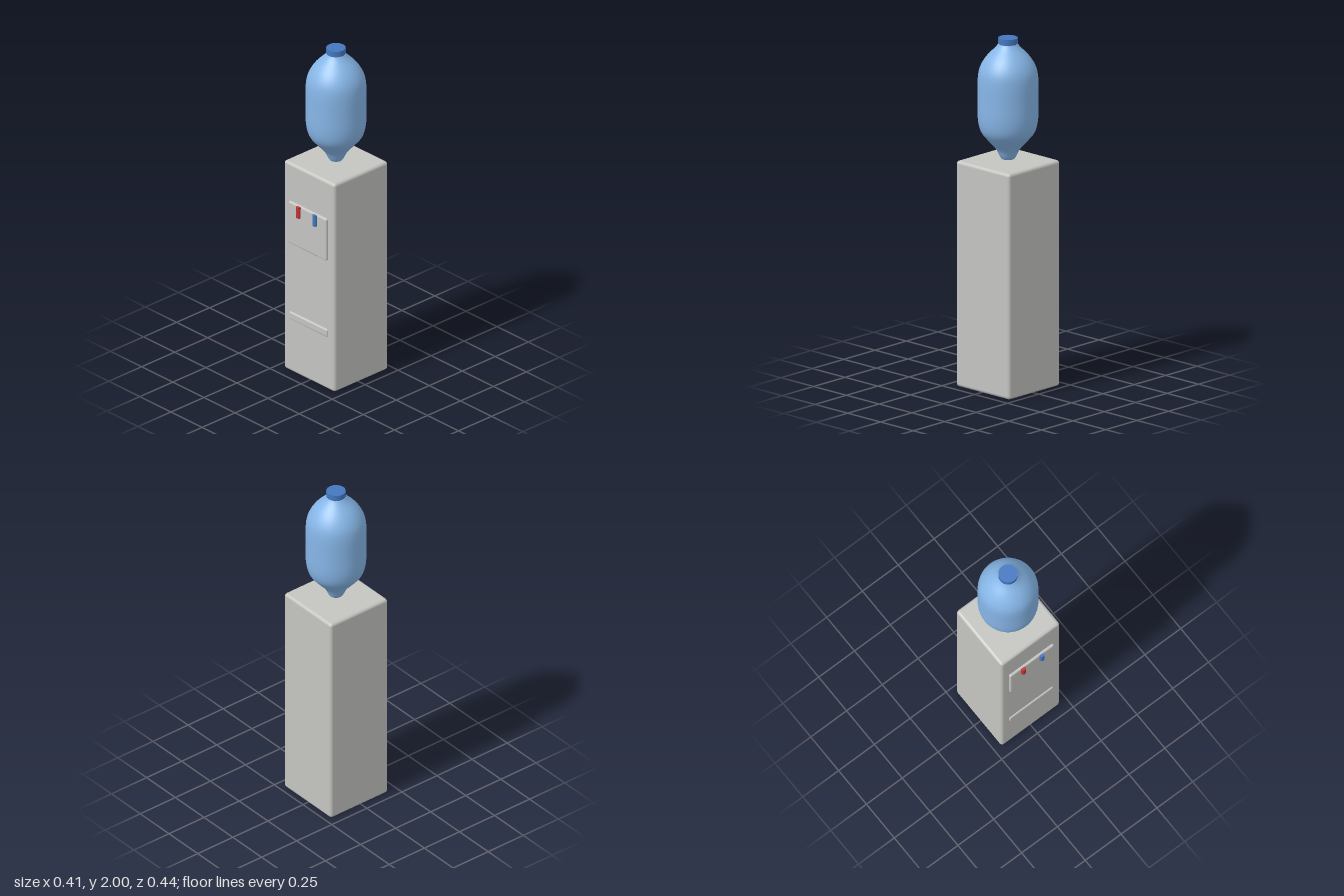
import * as THREE from 'three';
import { RoundedBoxGeometry } from 'three/addons/geometries/RoundedBoxGeometry.js';

const material = (name, color) => {
  const m = new THREE.MeshStandardMaterial({ color });
  m.name = name;
  return m;
};

export function createModel() {
  const model = new THREE.Group();
  model.name = 'waterCooler';

  const casing = material('casing grey', 0xc4c4c1);
  const water = material('bottle blue', 0x88b8ea);
  const blue = material('cap blue', 0x4478c0);
  const red = material('hot red', 0xc43434);

  const add = (name, geometry, mat, x, y, z) => {
    const mesh = new THREE.Mesh(geometry, mat);
    mesh.name = name;
    mesh.position.set(x, y, z);
    model.add(mesh);
    return mesh;
  };

  // Cabinet with softened edges
  const cz = -0.015;
  add('cabinet', new RoundedBoxGeometry(0.41, 1.295, 0.41, 2, 0.018), casing, 0, 0.6475, cz);

  // Dispensing panel and drip tray on the front
  add('frontPanel', new RoundedBoxGeometry(0.308, 0.26, 0.04, 2, 0.01), casing, 0, 0.935, 0.185);
  add('dripTray', new RoundedBoxGeometry(0.308, 0.048, 0.04, 2, 0.01), casing, 0, 0.352, 0.179);

  // Hot and cold taps
  for (const [name, mat, x] of [['hotTap', red, -0.065], ['coldTap', blue, 0.065]]) {
    add(name, new THREE.CylinderGeometry(0.015, 0.015, 0.067, 16), mat, x, 1.028, 0.205);
  }

  // Bottle turned from a smooth profile
  const profile = new THREE.SplineCurve([
    [0.036, 1.306], [0.048, 1.325], [0.068, 1.364], [0.117, 1.42], [0.152, 1.468], [0.167, 1.54],
    [0.168, 1.65], [0.167, 1.77], [0.153, 1.835], [0.118, 1.893], [0.07, 1.943], [0.052, 1.968],
  ].map(([r, y]) => new THREE.Vector2(r, y))).getPoints(33);
  const outline = [new THREE.Vector2(0, 1.304), ...profile, new THREE.Vector2(0, 1.97)];
  add('bottle', new THREE.LatheGeometry(outline, 48), water, 0, 0, cz);

  // Bottle cap
  add('bottleCap', new THREE.CylinderGeometry(0.054, 0.054, 0.036, 16), blue, 0, 1.982, cz);

  return model;
}
